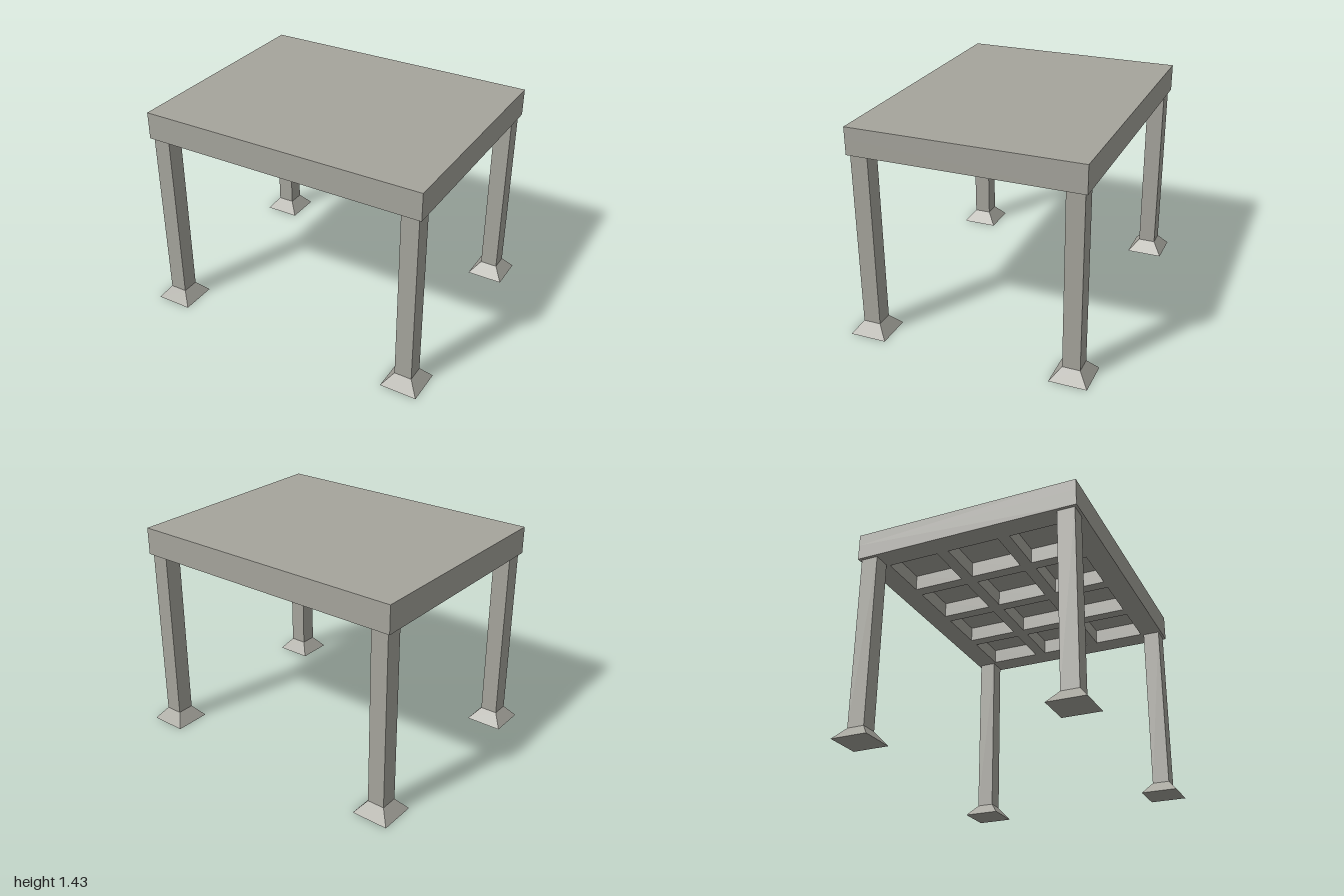
import * as THREE from 'three';

const concrete = new THREE.MeshStandardMaterial({ color: 0xa5a49c });
concrete.name = 'concrete';

const W = 1.91, D = 1.514;               // roof plan
const BOTTOM = 1.25, TOP = 1.43, RECESS = 0.105;
const LEG = 0.115, FOOT = 0.245, FOOT_H = 0.08;

function add(parent, name, geometry, x, y, z) {
  const mesh = new THREE.Mesh(geometry, concrete);
  mesh.name = name;
  mesh.position.set(x, y, z);
  parent.add(mesh);
  return mesh;
}

function rectangle(target, x0, y0, x1, y1) {
  target.moveTo(x0, y0);
  target.lineTo(x1, y0);
  target.lineTo(x1, y1);
  target.lineTo(x0, y1);
  target.closePath();
  return target;
}

// Ribbed lower half of the roof: a plate pierced by a grid of square coffers
function cofferGeometry() {
  const shape = rectangle(new THREE.Shape(), -W / 2, -D / 2, W / 2, D / 2);
  const margin = 0.15, rib = 0.08, columns = 4, rows = 3;
  const w = (W - 2 * margin - (columns - 1) * rib) / columns;
  const d = (D - 2 * margin - (rows - 1) * rib) / rows;
  for (let i = 0; i < columns; i++) {
    for (let j = 0; j < rows; j++) {
      const x = -W / 2 + margin + i * (w + rib);
      const z = -D / 2 + margin + j * (d + rib);
      shape.holes.push(rectangle(new THREE.Path(), x, z, x + w, z + d));
    }
  }
  return new THREE.ExtrudeGeometry(shape, { depth: RECESS, bevelEnabled: false }).rotateX(Math.PI / 2);
}

export function createModel() {
  const model = new THREE.Group();
  model.name = 'pavilion';

  // Roof
  const roof = new THREE.Group();
  roof.name = 'roof';
  model.add(roof);
  const slabH = TOP - BOTTOM - RECESS;
  add(roof, 'roofSlab', new THREE.BoxGeometry(W, slabH, D), 0, TOP - slabH / 2, 0);
  add(roof, 'cofferedCeiling', cofferGeometry(), 0, BOTTOM + RECESS, 0);

  // Columns on flared square feet
  const legH = BOTTOM - FOOT_H;
  const legGeometry = new THREE.BoxGeometry(LEG, legH, LEG);
  const footGeometry = new THREE.CylinderGeometry(LEG * Math.SQRT1_2, FOOT * Math.SQRT1_2, FOOT_H, 4)
    .rotateY(Math.PI / 4).toNonIndexed();
  footGeometry.computeVertexNormals();
  for (const sx of [-1, 1]) {
    for (const sz of [-1, 1]) {
      const column = new THREE.Group();
      column.name = (sz > 0 ? 'front' : 'back') + (sx > 0 ? 'Left' : 'Right') + 'Column';
      column.position.set(sx * 0.8775, 0, sz * 0.682);
      add(column, 'leg', legGeometry, 0, FOOT_H + legH / 2, 0);
      add(column, 'foot', footGeometry, 0, FOOT_H / 2, 0);
      model.add(column);
    }
  }
  return model;
}
